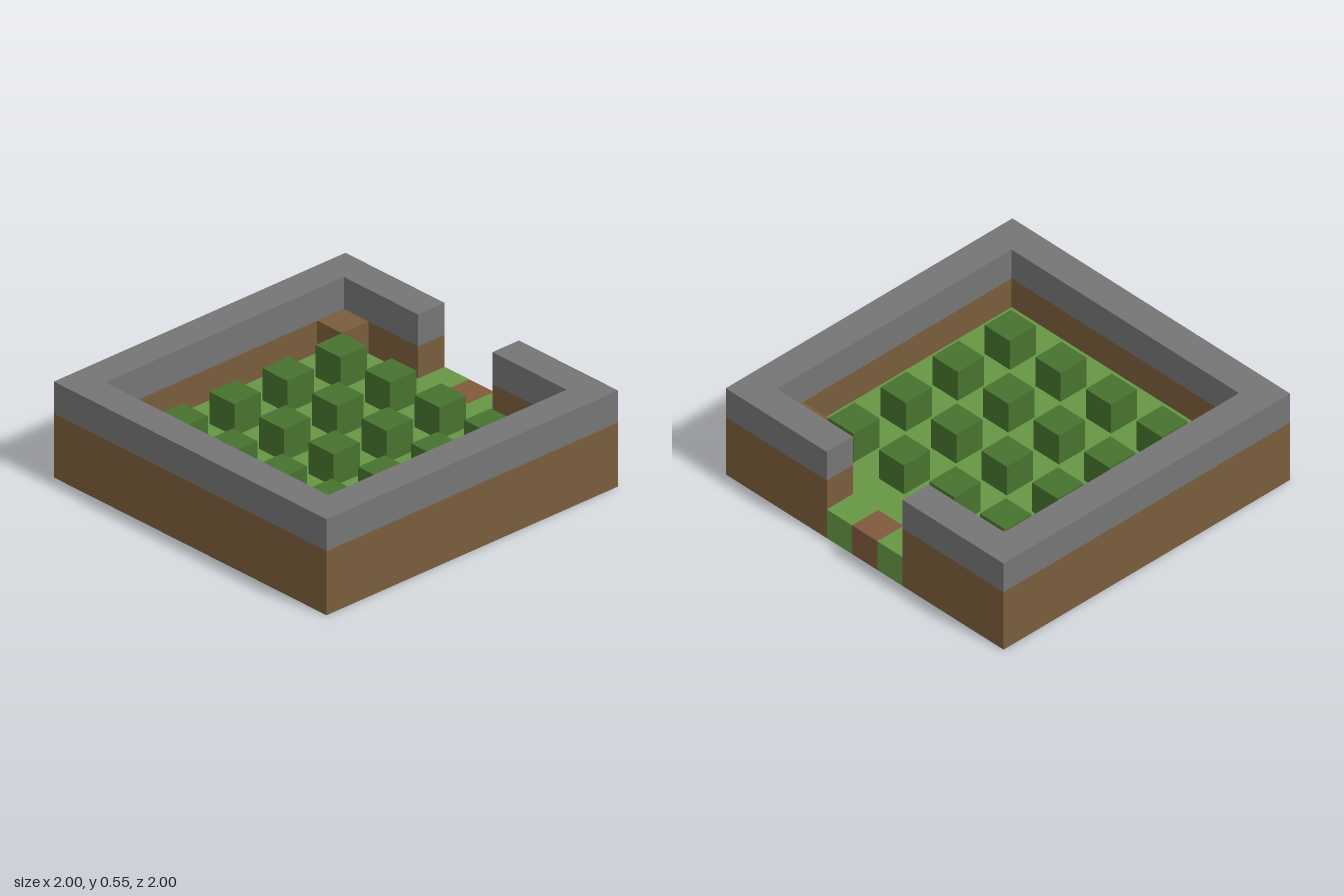
import * as THREE from 'three';

const U = 2 / 11; // one block

const material = (name, color) => {
  const m = new THREE.MeshStandardMaterial({ color, flatShading: true });
  m.name = name;
  return m;
};

export function createModel() {
  const stone = material('stone grey', 0x757575);
  const earth = material('earth brown', 0x795d3c);
  const pathBrown = material('path brown', 0x7f593c);
  const grass = material('grass green', 0x669644);
  const leaf = material('leaf green', 0x47722d);

  const model = new THREE.Group();
  model.name = 'walledGarden';

  // Box measured in blocks: centre x, base y, centre z
  const block = (name, mat, x, y, z, w = 1, d = 1) => {
    const mesh = new THREE.Mesh(new THREE.BoxGeometry(w * U, U, d * U), mat);
    mesh.position.set(x * U, (y + 0.5) * U, z * U);
    mesh.name = name;
    model.add(mesh);
  };

  // Wall ring with a gate gap at the back, drawn as a plan
  const plan = new THREE.Shape([
    [-1.5, 5.5], [-5.5, 5.5], [-5.5, -5.5], [5.5, -5.5], [5.5, 5.5], [1.5, 5.5],
    [1.5, 4.5], [4.5, 4.5], [4.5, -4.5], [-4.5, -4.5], [-4.5, 4.5], [-1.5, 4.5],
  ].map(([x, y]) => new THREE.Vector2(x * U, y * U)));
  const wall = (name, mat, y, h) => {
    const geo = new THREE.ExtrudeGeometry(plan, { depth: h * U, bevelEnabled: false });
    geo.rotateX(-Math.PI / 2);
    const mesh = new THREE.Mesh(geo, mat);
    mesh.position.y = y * U;
    mesh.name = name;
    model.add(mesh);
  };
  wall('lowerWall', earth, 0, 2);
  wall('upperWall', stone, 2, 1);

  // Lawn and the gateway strip
  block('lawn', grass, 0, 0, 0, 9, 9);
  block('gatePath', pathBrown, 0, 0, -5);
  for (const side of [-1, 1]) {
    block('gateGrass', grass, side, 0, -5);
    block('cornerBlock', earth, side * 4, 1, -4);
  }

  // Four by four grid of bushes
  for (let x = -3; x <= 3; x += 2)
    for (let z = -3; z <= 3; z += 2) block('bush', leaf, x, 1, z);

  return model;
}
